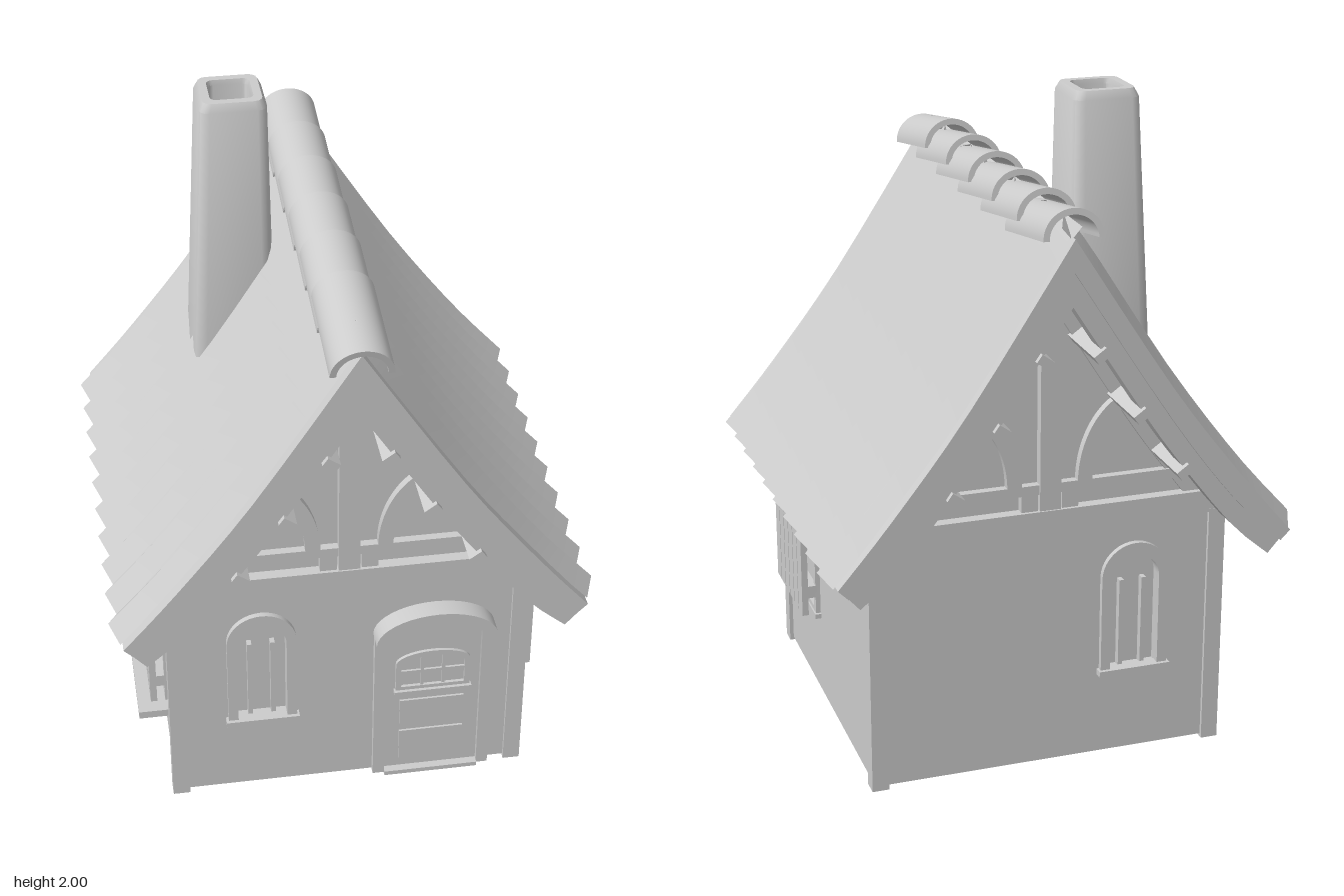
import * as THREE from 'three';
import { toCreasedNormals } from 'three/addons/utils/BufferGeometryUtils.js';

const clay = new THREE.MeshStandardMaterial({ color: 0xcccccc, side: THREE.DoubleSide });
clay.name = 'clay';

function add(parent, name, geo, x = 0, y = 0, z = 0) {
  const m = new THREE.Mesh(geo, clay);
  m.name = name;
  m.position.set(x, y, z);
  parent.add(m);
  return m;
}
// box given by its limits
const box = (p, name, x0, x1, y0, y1, z0, z1) =>
  add(p, name, new THREE.BoxGeometry(x1 - x0, y1 - y0, z1 - z0), (x0 + x1) / 2, (y0 + y1) / 2, (z0 + z1) / 2);
// extrusion from z to z + depth with crisp edges
const slab = (p, name, shape, z, depth, segs = 10) =>
  add(p, name, toCreasedNormals(new THREE.ExtrudeGeometry(shape, { depth, bevelEnabled: false, curveSegments: segs }), 0.6), 0, 0, z);
const poly = (pts) => new THREE.Shape(pts.map((p) => new THREE.Vector2(p[0], p[1])));

// arched outline: centre x, bottom, half width, spring height and rise
function arch(x, y, w, spring, rise, Kind = THREE.Shape) {
  const s = new Kind();
  s.moveTo(x - w, y);
  s.lineTo(x + w, y);
  s.lineTo(x + w, spring);
  s.absellipse(x, spring, w, rise, 0, Math.PI, false);
  s.lineTo(x - w, y);
  return s;
}

// roof lines, from ridge to eave on the +x side
const crest = [[0, 1.735], [0.08, 1.63], [0.32, 1.26], [0.54, 0.965], [0.715, 0.765]];
const deckTop = [[0, 1.685], [0.3, 1.225], [0.52, 0.935], [0.68, 0.745]];
const deckLow = [[0, 1.59], [0.3, 1.13], [0.5, 0.865], [0.65, 0.715]];
const boardLow = [[0, 1.49], [0.2, 1.18], [0.31, 1.02], [0.49, 0.79], [0.615, 0.675]];
const curve = (pts, n) =>
  new THREE.SplineCurve(pts.map((p) => new THREE.Vector2(p[0], p[1]))).getPoints(n).map((v) => [v.x, v.y]);
// band between two mirrored roof lines
function gableBand(a, b) {
  const A = curve(a, 12), B = curve(b, 12);
  const flip = (l) => l.slice(1).map(([x, y]) => [-x, y]);
  return poly([...flip(A).reverse(), ...A, ...B.reverse(), ...flip(B.reverse())]);
}

// folded roof covering on one side
function corrugated(side) {
  const line = curve(crest, 14), pos = [], idx = [];
  const folds = 20, z0 = -0.694, step = 0.0686, cols = line.length;
  for (let k = 0; k <= folds; k++) {
    line.forEach(([x, y], i) => {
      const a = line[Math.max(i - 1, 0)], b = line[Math.min(i + 1, cols - 1)];
      const l = Math.hypot(b[0] - a[0], b[1] - a[1]);
      const d = k % 2 ? 0 : 0.038;
      pos.push(side * (x + (b[1] - a[1]) / l * d), y - (b[0] - a[0]) / l * d, z0 + k * step);
    });
  }
  for (let k = 0; k < folds; k++) for (let i = 0; i < cols - 1; i++) {
    const a = k * cols + i, b = a + 1, c = a + cols, d = c + 1;
    if (side > 0) idx.push(a, c, b, b, c, d);
    else idx.push(a, b, c, b, d, c);
  }
  const g = new THREE.BufferGeometry();
  g.setAttribute('position', new THREE.Float32BufferAttribute(pos, 3));
  g.setIndex(idx);
  return toCreasedNormals(g, 0.4);
}

// hollow tapering chimney lofted through rounded squares
function chimneyGeometry() {
  const rings = [ // y, centre x, centre z, half width
    [1.12, -0.244, -0.27, 0.128], [1.975, -0.229, -0.262, 0.1], [2, -0.229, -0.262, 0.088],
    [2, -0.229, -0.262, 0.064], [1.985, -0.229, -0.262, 0.06], [1.3, -0.24, -0.268, 0.06]];
  const pos = [], idx = [], n = 16;
  for (const [y, cx, cz, w] of rings) for (let i = 0; i < n; i++) {
    const q = Math.floor(i / 4), a = (q + (i % 4) / 3) * Math.PI / 2, r = w * 0.3;
    const sx = q === 0 || q === 3 ? 1 : -1, sz = q < 2 ? 1 : -1;
    pos.push(cx + sx * (w - r) + Math.cos(a) * r, y, cz + sz * (w - r) + Math.sin(a) * r);
  }
  for (let k = 0; k < rings.length - 1; k++) for (let i = 0; i < n; i++) {
    const a = k * n + i, b = k * n + (i + 1) % n;
    idx.push(a, a + n, b, b, a + n, b + n);
  }
  const g = new THREE.BufferGeometry();
  g.setAttribute('position', new THREE.Float32BufferAttribute(pos, 3));
  g.setIndex(idx);
  return toCreasedNormals(g, 0.6);
}

// timbered end wall facing +z; wx is the window position
function endWall(name, wx) {
  const g = new THREE.Group();
  g.name = name;
  const wall = poly([[-0.53, 0.01], [0.53, 0.01], [0.53, 0.8], [-0.53, 0.8]]);
  wall.holes.push(arch(wx, 0.285, 0.075, 0.575, 0.075, THREE.Path));
  slab(g, 'wall', wall, 0.505, 0.035);
  const frame = arch(wx, 0.28, 0.105, 0.585, 0.105);
  frame.holes.push(arch(wx, 0.285, 0.075, 0.575, 0.075, THREE.Path));
  slab(g, 'windowFrame', frame, 0.535, 0.022);
  slab(g, 'windowPane', arch(wx, 0.28, 0.08, 0.58, 0.08), 0.505, 0.008);
  for (const s of [-1, 1]) box(g, 'windowBar', wx + s * 0.035 - 0.007, wx + s * 0.035 + 0.007, 0.285, 0.565, 0.512, 0.535);
  box(g, 'windowSill', wx - 0.112, wx + 0.112, 0.27, 0.288, 0.53, 0.568);
  // gable panel and timbers
  slab(g, 'gablePanel', poly([[-0.54, 0.77], [0.54, 0.77], [0.31, 1.07], [0, 1.55], [-0.31, 1.07]]), 0.495, 0.02);
  slab(g, 'gableRafter', gableBand([[0, 1.52], [0.2, 1.21], [0.31, 1.05], [0.53, 0.79]], [[0, 1.45], [0.18, 1.165], [0.3, 0.985], [0.46, 0.77]]), 0.515, 0.018);
  box(g, 'lowerBeam', -0.53, 0.53, 0.755, 0.825, 0.5, 0.55);
  box(g, 'tieBeam', -0.42, 0.42, 0.875, 0.905, 0.51, 0.54);
  box(g, 'kingPost', -0.032, 0.032, 0.82, 1.48, 0.51, 0.545);
  for (const s of [-1, 1]) {
    box(g, 'sidePost', s * 0.062 - 0.025, s * 0.062 + 0.025, 0.82, 0.905, 0.51, 0.54);
    const brace = new THREE.Shape();
    brace.absellipse(-0.28, 0.9, 0.195, 0.27, 0, 1.35, false);
    brace.absellipse(-0.28, 0.9, 0.15, 0.23, 1.35, 0, true);
    const b = slab(g, 'curvedBrace', brace, 0.51, 0.03);
    if (s > 0) b.rotation.y = Math.PI, b.position.z = 0.54;
    // purlin ends
    for (const [x, y] of [[0.083, 1.345], [0.205, 1.155], [0.34, 0.97]]) {
      const p = box(g, 'purlin', -0.014, 0.014, -0.022, 0.022, 0.5, 0.727);
      p.position.set(s * x, y, 0.6135);
      p.rotation.z = -s * 0.95;
    }
  }
  // bargeboard under the roof edge
  slab(g, 'bargeboard', gableBand(deckLow, boardLow), 0.64, 0.072);
  return g;
}

// side window with planked shutters, built facing +z at z = 0
function shutterWindow(name, withSill) {
  const g = new THREE.Group();
  g.name = name;
  const frame = arch(0, 0.28, 0.165, 0.55, 0.14);
  frame.holes.push(arch(0, 0.3, 0.14, 0.55, 0.115, THREE.Path));
  slab(g, 'frame', frame, -0.005, 0.02);
  const top = (x) => 0.57 + 0.13 * Math.sqrt(Math.max(0, 1 - (x / 0.18) ** 2));
  for (let i = 0; i < 6; i++) {
    const a = -0.174 + i * 0.058 + 0.003, b = a + 0.052;
    const plank = poly([[a, 0.285], [b, 0.285], [b, top(b)], [(a + b) / 2, top((a + b) / 2)], [a, top(a)]]);
    slab(g, 'plank', plank, 0.04, 0.02);
  }
  for (const s of [-1, 1]) for (const y of [0.36, 0.57])
    box(g, 'batten', s * 0.09 - 0.075, s * 0.09 + 0.075, y - 0.02, y + 0.02, 0.01, 0.042);
  if (withSill) box(g, 'sill', -0.21, 0.21, 0.255, 0.28, -0.01, 0.1);
  else box(g, 'sill', -0.175, 0.175, 0.27, 0.285, -0.01, 0.02);
  return g;
}

function door() {
  const g = new THREE.Group();
  g.name = 'door';
  const cx = 0.26;
  const frame = arch(cx, 0.005, 0.183, 0.56, 0.09);
  frame.holes.push(arch(cx, 0.01, 0.147, 0.56, 0.06, THREE.Path));
  slab(g, 'doorFrame', frame, 0.53, 0.03);
  slab(g, 'doorLeaf', arch(cx, 0.01, 0.147, 0.56, 0.06), 0.53, 0.015);
  const hood = new THREE.Shape();
  hood.absellipse(cx, 0.565, 0.185, 0.102, 0, Math.PI, false);
  hood.absellipse(cx, 0.565, 0.147, 0.057, Math.PI, 0, true);
  slab(g, 'doorHood', hood, 0.535, 0.068);
  // glazed light with bars, and raised panels
  const light = arch(cx, 0.335, 0.115, 0.44, 0.045);
  light.holes.push(arch(cx, 0.35, 0.098, 0.435, 0.032, THREE.Path));
  slab(g, 'lightFrame', light, 0.543, 0.012);
  for (const x of [-0.033, 0.033]) box(g, 'lightBar', cx + x - 0.005, cx + x + 0.005, 0.345, 0.465, 0.543, 0.552);
  box(g, 'lightBar', cx - 0.1, cx + 0.1, 0.4, 0.41, 0.543, 0.552);
  box(g, 'lightLedge', cx - 0.12, cx + 0.12, 0.325, 0.338, 0.543, 0.565);
  box(g, 'doorPanel', cx - 0.1, cx + 0.1, 0.195, 0.29, 0.543, 0.552);
  box(g, 'doorPanel', cx - 0.1, cx + 0.1, 0.05, 0.165, 0.543, 0.552);
  box(g, 'doorstep', cx - 0.147, cx + 0.147, 0, 0.015, 0.5, 0.57);
  return g;
}

export function createModel() {
  const house = new THREE.Group();
  house.name = 'cottage';

  // walls and corner posts
  const front = endWall('frontWall', -0.265);
  front.add(door());
  const back = endWall('backWall', 0.265);
  back.rotation.y = Math.PI;
  house.add(front, back);
  for (const s of [-1, 1]) {
    box(house, 'sideWall', s * 0.522 - 0.015, s * 0.522 + 0.015, 0.01, 0.82, -0.53, 0.53);
    for (const t of [-1, 1])
      box(house, 'cornerPost', s * 0.523 - 0.026, s * 0.523 + 0.026, 0, 0.765, t * 0.525 - 0.026, t * 0.525 + 0.026);
    const w = shutterWindow('shutterWindow', s < 0);
    w.position.set(s * 0.537, 0, 0.26);
    w.rotation.y = s * Math.PI / 2;
    house.add(w);
    add(house, 'roofCovering', corrugated(s));
  }

  // roof deck, ridge tiles and chimney
  slab(house, 'roofDeck', gableBand(deckTop, deckLow), -0.722, 1.434);
  const tile = new THREE.Shape();
  tile.absellipse(0, 0, 0.089, 0.085, 0, Math.PI, false);
  tile.absellipse(0, 0, 0.071, 0.067, Math.PI, 0, true);
  for (let i = 0; i < 6; i++) {
    const m = slab(house, 'ridgeTile', tile, 0.395 - i * 0.222, 0.33, 12);
    m.position.y = 1.683;
    m.rotation.x = 0.165;
  }
  add(house, 'chimney', chimneyGeometry());
  return house;
}
